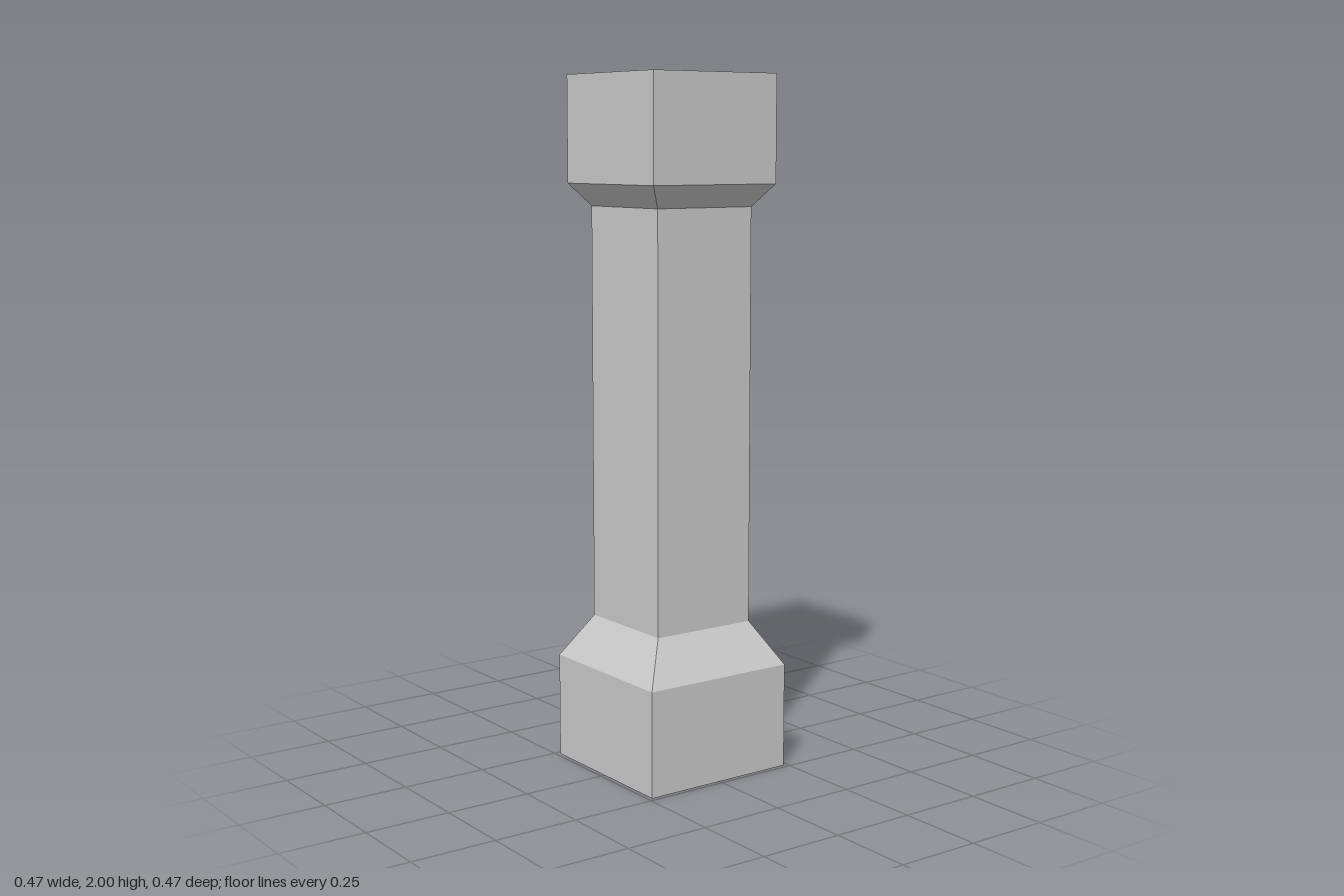
import * as THREE from 'three';

const material = new THREE.MeshStandardMaterial({ color: 0xcccccc, flatShading: true });

// Square section swept up a profile of [half width, height] points
function squarePart(name, profile) {
  const points = profile.map(([half, y]) => new THREE.Vector2(half * Math.SQRT2, y));
  const mesh = new THREE.Mesh(new THREE.LatheGeometry(points, 4, Math.PI / 4), material);
  mesh.name = name;
  return mesh;
}

export function createModel() {
  const BASE = 0.237, SHAFT = 0.162, CAPITAL = 0.211;
  const group = new THREE.Group();
  group.name = 'pillar';
  group.add(
    // Plinth block with its closed underside
    squarePart('base', [[0, 0], [BASE, 0], [BASE, 0.306]]),
    // Sloped shoulder from plinth to shaft
    squarePart('baseBevel', [[BASE, 0.306], [SHAFT, 0.432]]),
    squarePart('shaft', [[SHAFT, 0.432], [SHAFT, 1.631]]),
    // Flare under the top block
    squarePart('capitalBevel', [[SHAFT, 1.631], [CAPITAL, 1.695]]),
    // Top block with its closed upper face
    squarePart('capital', [[CAPITAL, 1.695], [CAPITAL, 2], [0, 2]])
  );
  return group;
}
